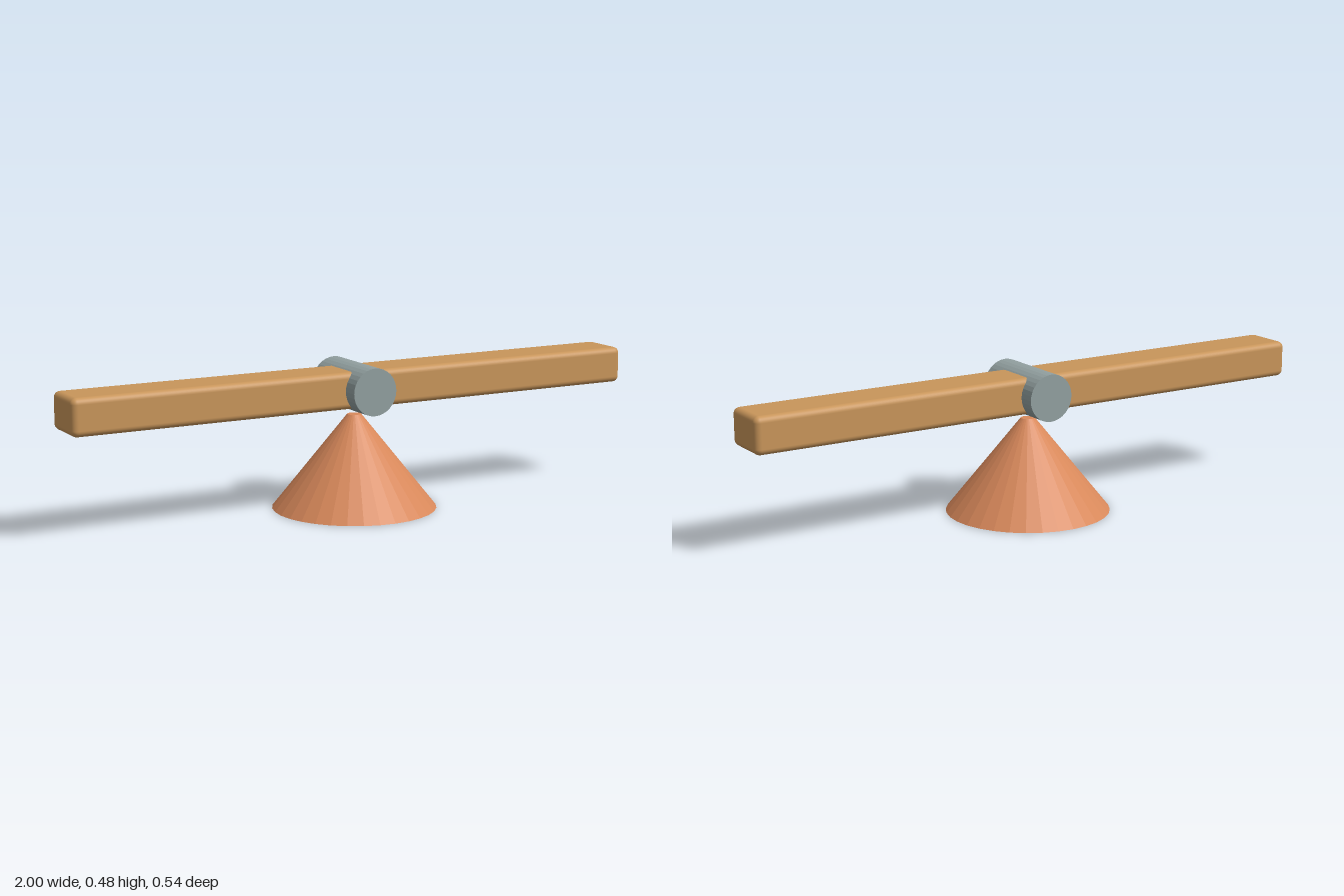
import * as THREE from 'three';
import { RoundedBoxGeometry } from 'three/addons/geometries/RoundedBoxGeometry.js';

const material = (name, color, flatShading = false) => {
  const m = new THREE.MeshStandardMaterial({ color, flatShading });
  m.name = name;
  return m;
};

export function createModel() {
  const group = new THREE.Group();
  group.name = 'seesaw';

  const add = (name, geometry, mat, y) => {
    const mesh = new THREE.Mesh(geometry, mat);
    mesh.name = name;
    mesh.position.y = y;
    group.add(mesh);
    return mesh;
  };

  // Truncated cone stand
  add('base', new THREE.CylinderGeometry(0.023, 0.269, 0.308, 32),
    material('terracotta', 0xd9895b, true), 0.154);

  // Axle running front to back, just above the stand
  const axle = add('axle', new THREE.CylinderGeometry(0.077, 0.077, 0.277, 32),
    material('grey metal', 0x919f9f, true), 0.4);
  axle.rotation.x = Math.PI / 2;

  // Long plank with softened edges, passing through the axle
  add('plank', new RoundedBoxGeometry(2, 0.12, 0.168, 4, 0.02),
    material('wood', 0xc8955a), 0.4);

  return group;
}
